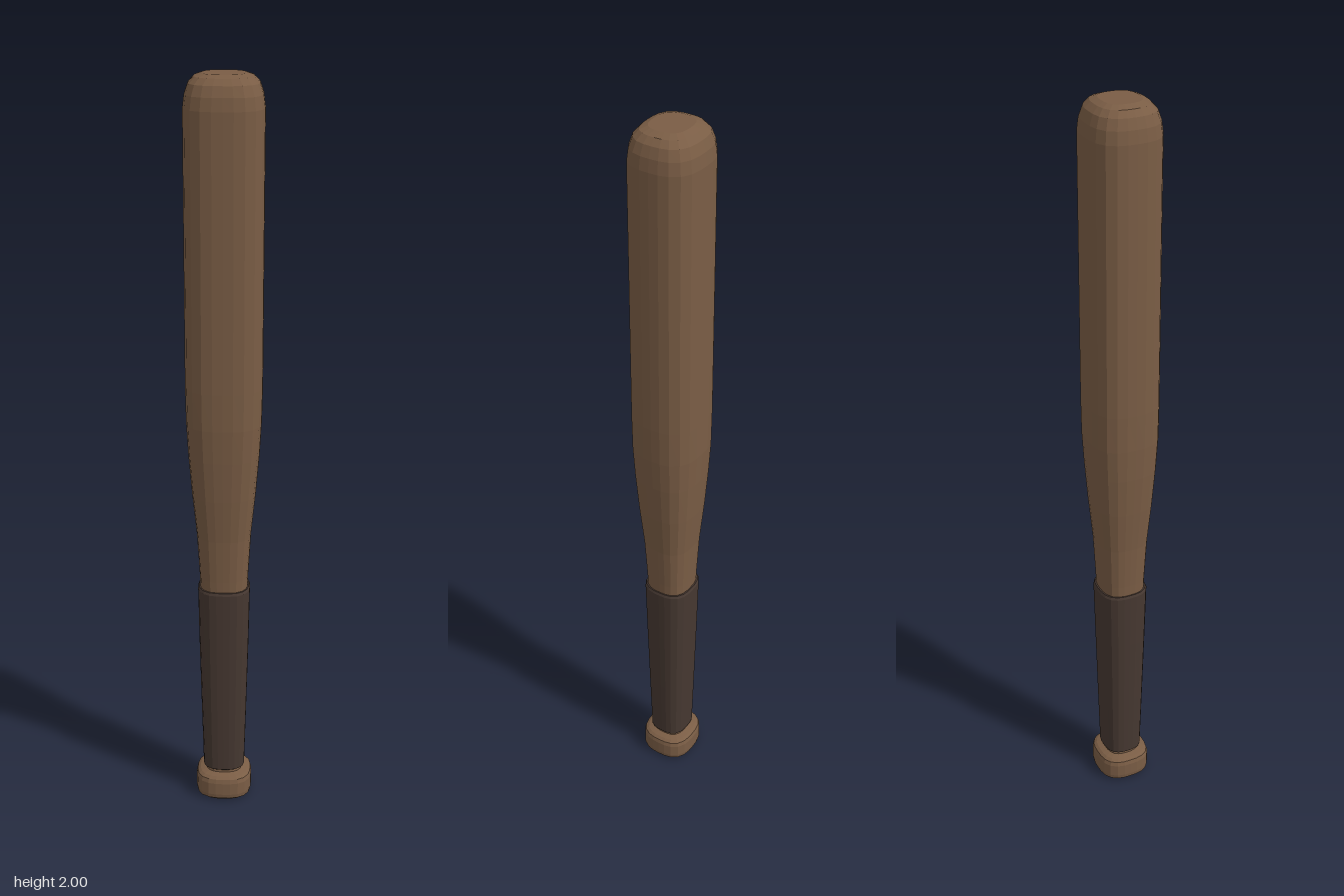
import * as THREE from 'three';

const SIDES = 24;
const SQUARENESS = 2.8; // 2 would be an ellipse, higher is squarer

// Loft a rounded-square cross-section through rings of [half width, half depth, y]
function loft(name, rings, material) {
  const geometry = new THREE.LatheGeometry(rings.map(([, , y]) => new THREE.Vector2(1, y)), SIDES);
  const pos = geometry.attributes.position;
  for (let i = 0; i < pos.count; i++) {
    const [w, d, y] = rings[i % rings.length];
    const a = Math.floor(i / rings.length) / SIDES * Math.PI * 2;
    const s = Math.sin(a), c = Math.cos(a);
    const r = 1 / Math.pow(Math.abs(s) ** SQUARENESS + Math.abs(c) ** SQUARENESS, 1 / SQUARENESS);
    pos.setXYZ(i, w * r * s, y, d * r * c);
  }
  const flat = geometry.toNonIndexed();
  flat.computeVertexNormals();
  const mesh = new THREE.Mesh(flat, material);
  mesh.name = name;
  return mesh;
}

export function createModel() {
  const wood = new THREE.MeshStandardMaterial({ color: 0x7a5d45, flatShading: true });
  wood.name = 'brown wood';
  const wrap = new THREE.MeshStandardMaterial({ color: 0x463831, flatShading: true });
  wrap.name = 'dark grip';

  const bat = new THREE.Group();
  bat.name = 'bat';

  // Barrel, tapering down into the handle, with a rounded closed end
  bat.add(loft('barrel', [
    [0.062, 0.058, 0.6], [0.065, 0.061, 0.68], [0.072, 0.067, 0.8], [0.084, 0.078, 0.92],
    [0.093, 0.086, 1.03], [0.098, 0.091, 1.12], [0.1, 0.092, 1.22], [0.1, 0.092, 1.92],
    [0.096, 0.088, 1.952], [0.087, 0.079, 1.978], [0.073, 0.065, 1.993], [0.053, 0.048, 2], [0, 0, 2],
  ], wood));

  // Dark grip sleeve, slightly proud of the wood
  bat.add(loft('grip', [
    [0.05, 0.047, 0.085], [0.057, 0.053, 0.09], [0.062, 0.058, 0.28], [0.067, 0.063, 0.48],
    [0.07, 0.067, 0.642], [0.067, 0.064, 0.649], [0.06, 0.056, 0.649],
  ], wrap));

  // Knob with a short neck
  bat.add(loft('knob', [
    [0, 0, 0], [0.066, 0.063, 0], [0.075, 0.072, 0.008], [0.077, 0.074, 0.02], [0.077, 0.074, 0.055],
    [0.074, 0.071, 0.067], [0.066, 0.063, 0.073], [0.05, 0.047, 0.078], [0.048, 0.045, 0.1],
  ], wood));

  return bat;
}
